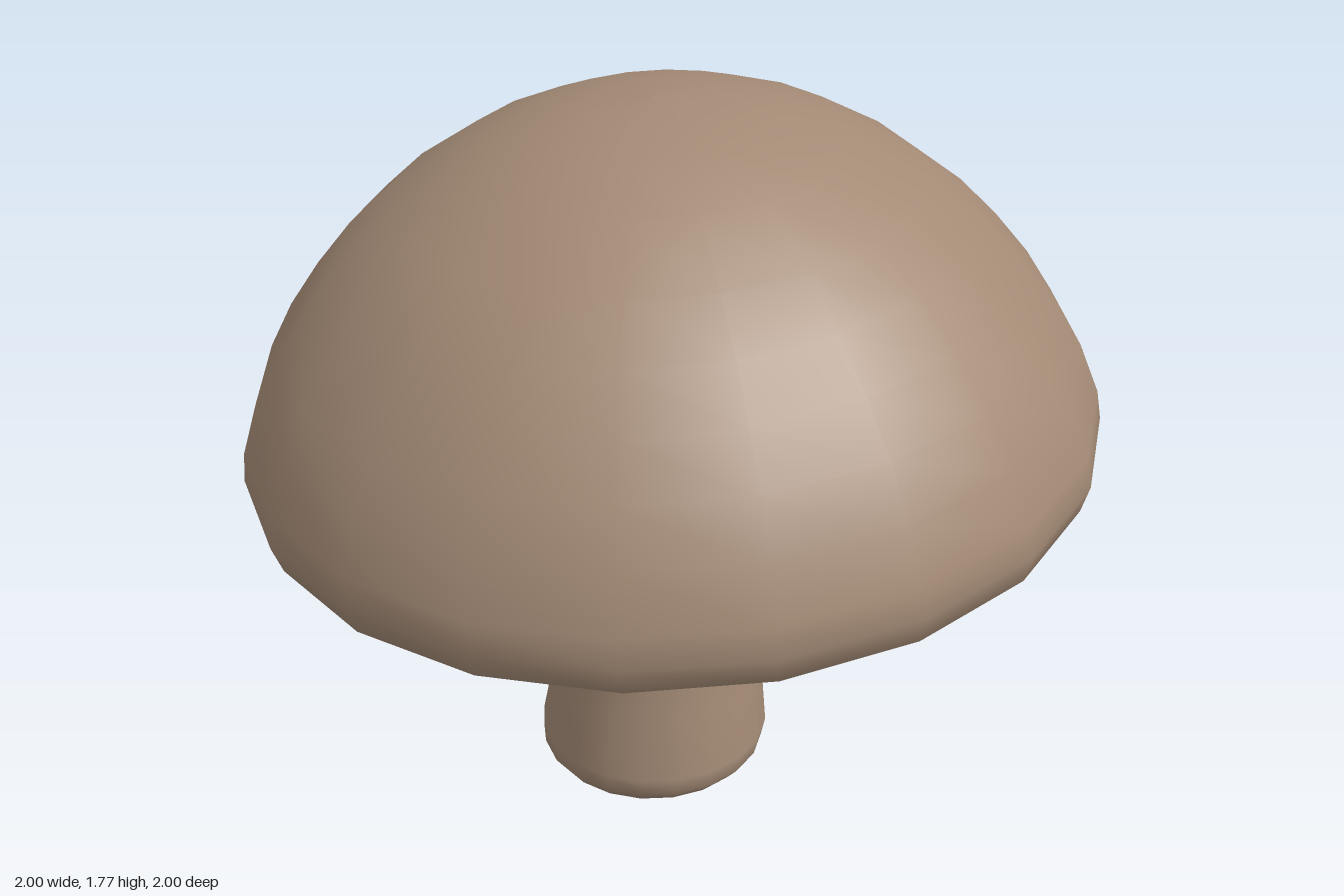
import * as THREE from 'three';

const SIDES = 20;

// Revolve a [radius, height] profile, listed from the underside outwards and up.
function lathe(name, profile, color) {
  const points = profile.map(([r, y]) => new THREE.Vector2(r, y));
  const mesh = new THREE.Mesh(
    new THREE.LatheGeometry(points, SIDES),
    new THREE.MeshStandardMaterial({ color })
  );
  mesh.name = name;
  return mesh;
}

export function createModel() {
  const model = new THREE.Group();
  model.name = 'mushroom';
  const brown = 0xa38a75;

  // Tilted head: domed cap with a rolled lip, and a dark shallow cone underneath
  const head = new THREE.Group();
  head.name = 'head';
  head.position.y = 0.977;
  head.rotation.z = 0.06;
  head.add(
    lathe('cap', [
      [0.89, -0.095], [0.94, -0.095], [0.98, -0.065], [1, 0], [0.99, 0.07],
      [0.945, 0.19], [0.88, 0.3], [0.8, 0.405], [0.71, 0.505], [0.6, 0.597],
      [0.44, 0.695], [0.28, 0.757], [0.14, 0.785], [0, 0.794],
    ], brown),
    lathe('gills', [
      [0, 0.13], [0.3, 0.085], [0.6, 0], [0.89, -0.095],
    ], 0x040404)
  );
  model.add(head);

  // Stem: rounded foot, slim waist and a flare where it meets the gills
  const stem = lathe('stem', [
    [0, 0], [0.2, 0.035], [0.255, 0.055], [0.28, 0.085], [0.286, 0.13],
    [0.262, 0.3], [0.243, 0.45], [0.235, 0.65], [0.225, 0.86],
    [0.25, 0.94], [0.29, 1.02], [0.312, 1.09],
  ], brown);
  // Slight bend, the foot towards -x
  const pos = stem.geometry.attributes.position;
  for (let i = 0; i < pos.count; i++) {
    pos.setX(i, pos.getX(i) - 0.024 - 0.038 * (1 - pos.getY(i)) ** 3);
  }
  model.add(stem);

  return model;
}
